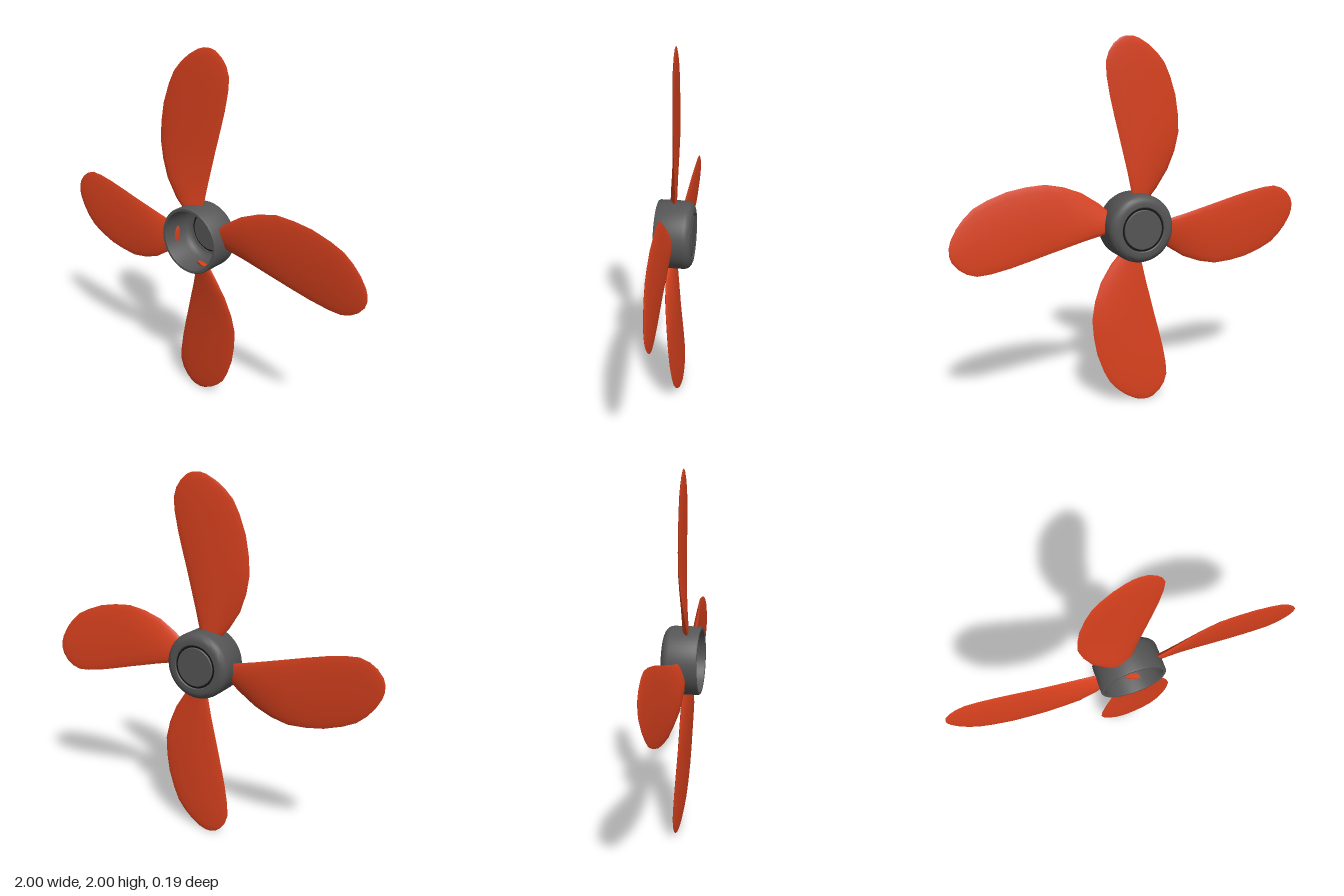
import * as THREE from 'three';
import { toCreasedNormals } from 'three/addons/utils/BufferGeometryUtils.js';

const orange = new THREE.MeshStandardMaterial({ color: 0xd9411e });
const darkGrey = new THREE.MeshStandardMaterial({ color: 0x555555 });
const black = new THREE.MeshStandardMaterial({ color: 0x111111 });

// Stations along the blade: radius, trailing edge x, leading edge x, half thickness
const STATIONS = [
  [0.15, -0.09, 0.015, 0.016], [0.2, -0.135, 0.03, 0.017], [0.3, -0.2, 0.052, 0.017],
  [0.4, -0.238, 0.077, 0.016], [0.5, -0.258, 0.102, 0.015], [0.6, -0.252, 0.128, 0.014],
  [0.7, -0.235, 0.152, 0.013], [0.8, -0.2, 0.17, 0.012], [0.87, -0.165, 0.174, 0.011],
  [0.92, -0.12, 0.158, 0.009], [0.96, -0.07, 0.13, 0.007], [0.99, -0.015, 0.092, 0.004],
  [1.0, 0.02, 0.06, 0.001],
];

// Lens-shaped cross-sections lofted from root to tip, with twist and rake
function bladeGeometry(sides = 20) {
  const pos = [], index = [];
  for (const [r, x0, x1, t] of STATIONS) {
    const twist = 0.06 + 0.2 * Math.max(0, 1 - (r - 0.15) / 0.4) ** 2;
    const rake = 0.013 - 0.024 * r;
    for (let j = 0; j < sides; j++) {
      const a = (j / sides) * Math.PI * 2;
      const x = (x0 + x1) / 2 + ((x1 - x0) / 2) * Math.cos(a);
      pos.push(x, r, rake - twist * x + t * Math.sin(a) * Math.abs(Math.sin(a)) ** 0.3);
    }
  }
  const rows = STATIONS.length;
  for (let i = 0; i < rows - 1; i++) {
    for (let j = 0; j < sides; j++) {
      const k = (j + 1) % sides, a = i * sides, b = a + sides;
      index.push(a + j, b + j, a + k, a + k, b + j, b + k);
    }
  }
  // End caps
  const last = (rows - 1) * sides;
  for (let j = 1; j < sides - 1; j++) {
    index.push(0, j, j + 1, last, last + j + 1, last + j);
  }
  const g = new THREE.BufferGeometry();
  g.setAttribute('position', new THREE.Float32BufferAttribute(pos, 3));
  g.setIndex(index);
  return toCreasedNormals(g, 0.7);
}

// Lathe around the z axis; profile points are [radius, z]
function turned(name, points, material) {
  const g = new THREE.LatheGeometry(points.map(([r, z]) => new THREE.Vector2(r, z)), 48);
  g.rotateX(Math.PI / 2);
  const mesh = new THREE.Mesh(toCreasedNormals(g, 0.6), material);
  mesh.name = name;
  return mesh;
}

export function createModel() {
  const model = new THREE.Group();
  model.name = 'propeller';
  const body = new THREE.Group();
  body.position.y = 1;
  model.add(body);

  // Hollow hub, open at the front, with a rounded back shoulder
  const shoulder = [];
  for (let i = 0; i <= 6; i++) {
    const a = (i / 6) * Math.PI / 2;
    shoulder.push([0.14 + 0.045 * Math.sin(a), -0.05 - 0.045 * Math.cos(a)]);
  }
  body.add(turned('hub', [
    [0.118, -0.075], [0.118, -0.09], [0.123, -0.095], ...shoulder,
    [0.185, 0.094], [0.181, 0.1], [0.168, 0.1], [0.164, 0.094],
    [0.16, -0.03], [0.15, -0.055], [0.135, -0.07], [0.125, -0.075], [0.118, -0.075],
  ], darkGrey));

  // Centre plate set in a dark groove
  body.add(turned('centrePlate', [
    [0, -0.095], [0.104, -0.095], [0.108, -0.091], [0.108, -0.076], [0.104, -0.072], [0, -0.072],
  ], darkGrey));
  body.add(turned('groove', [
    [0.106, -0.088], [0.12, -0.088], [0.12, -0.08], [0.106, -0.08],
  ], black));

  // Four blades, very slightly tilted as a set
  const blades = new THREE.Group();
  blades.name = 'blades';
  blades.rotation.x = 0.011;
  const geometry = bladeGeometry();
  for (let i = 0; i < 4; i++) {
    const blade = new THREE.Mesh(geometry, orange);
    blade.name = 'blade' + (i + 1);
    blade.rotation.z = -i * Math.PI / 2;
    blades.add(blade);
  }
  body.add(blades);
  return model;
}
